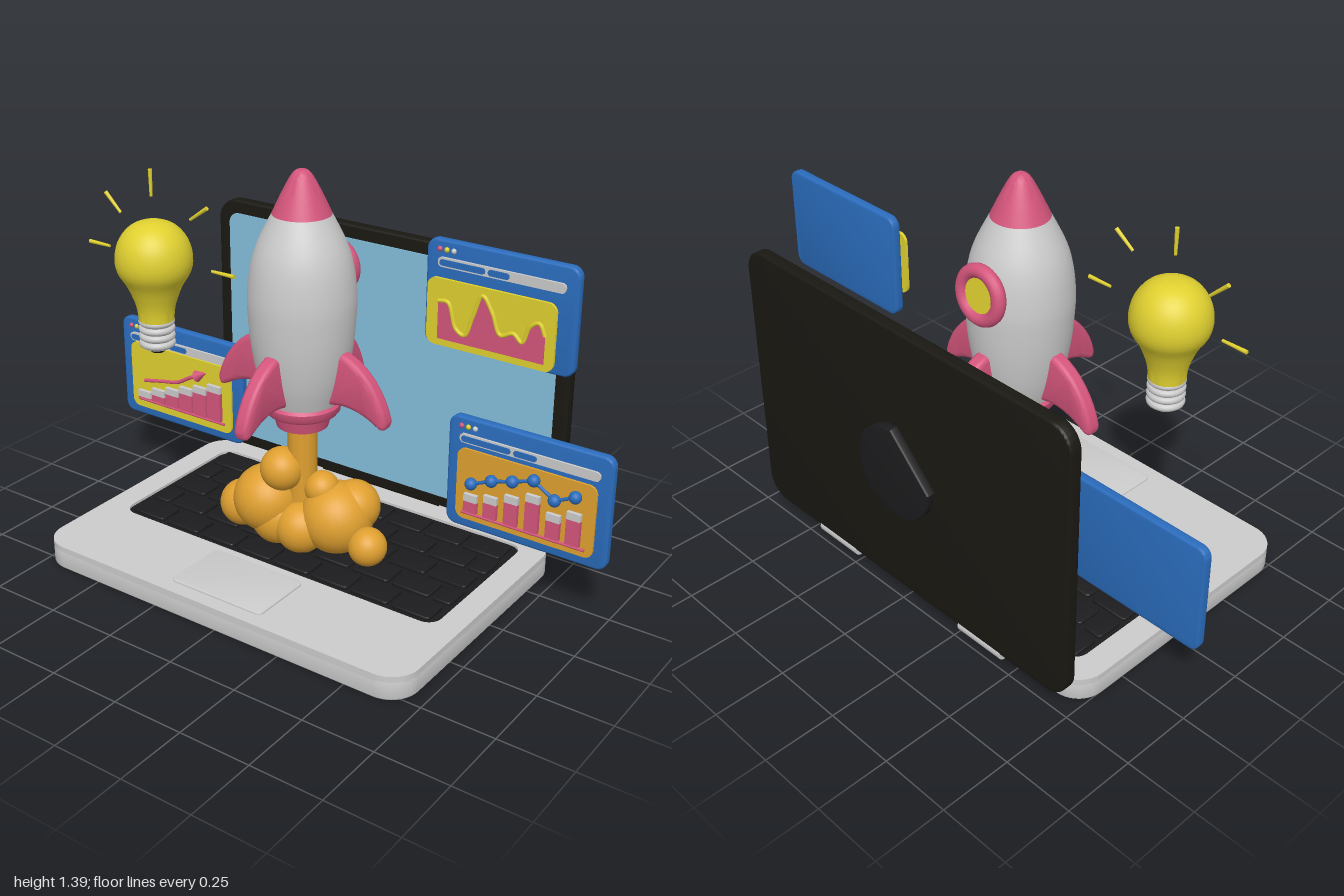
import * as THREE from 'three';
import { toCreasedNormals } from 'three/addons/utils/BufferGeometryUtils.js';

const GREY = 0xcccccc, BLUE = 0x2a6cbc, PINK = 0xd4557c, YELLOW = 0xe0d030, ORANGE = 0xe0a030,
  BLACK = 0x1a1812, KEY = 0x1c1c1e, SKY = 0x84bfdc;
const V2 = (p) => new THREE.Vector2(p[0], p[1]);
const V3 = (p) => new THREE.Vector3(p[0], p[1], p[2]);

function add(parent, name, geo, color, pos = [0, 0, 0]) {
  const mesh = new THREE.Mesh(geo, new THREE.MeshStandardMaterial({ color }));
  mesh.name = name;
  mesh.position.set(...pos);
  parent.add(mesh);
  return mesh;
}

function group(parent, name, pos = [0, 0, 0]) {
  const g = new THREE.Group();
  g.name = name;
  g.position.set(...pos);
  parent.add(g);
  return g;
}

function roundRect(x0, x1, y0, y1, r, Type = THREE.Shape) {
  const s = new Type();
  s.absarc(x1 - r, y1 - r, r, 0, Math.PI / 2);
  s.absarc(x0 + r, y1 - r, r, Math.PI / 2, Math.PI);
  s.absarc(x0 + r, y0 + r, r, Math.PI, Math.PI * 1.5);
  s.absarc(x1 - r, y0 + r, r, Math.PI * 1.5, Math.PI * 2);
  s.closePath();
  return s;
}

// Extrude a shape from z0 to z1 with a small rounded edge
function solid(shape, z0, z1, bevel = 0) {
  const geo = new THREE.ExtrudeGeometry(shape, {
    depth: z1 - z0 - 2 * bevel, curveSegments: 8, bevelEnabled: bevel > 0,
    bevelSize: bevel, bevelThickness: bevel, bevelOffset: -bevel, bevelSegments: 3,
  });
  geo.translate(0, 0, z0 + bevel);
  return toCreasedNormals(geo, 0.6);
}

const slab = (x0, x1, y0, y1, z0, z1, r, bevel) => solid(roundRect(x0, x1, y0, y1, r), z0, z1, bevel);
// Flat-lying plate: z range given front to back, thickness in y
const plate = (x0, x1, z0, z1, y0, y1, r, bevel) => slab(x0, x1, -z1, -z0, y0, y1, r, bevel).rotateX(-Math.PI / 2);

function rod(parent, name, a, b, r, color, r2 = r) {
  const d = V3(b).sub(V3(a));
  const mesh = add(parent, name, new THREE.CylinderGeometry(r2, r, d.length(), 12), color);
  mesh.position.copy(V3(a)).addScaledVector(d, 0.5);
  mesh.quaternion.setFromUnitVectors(new THREE.Vector3(0, 1, 0), d.normalize());
  return mesh;
}

const lathe = (pts, smooth) => toCreasedNormals(new THREE.LatheGeometry(
  smooth ? new THREE.SplineCurve(pts.map(V2)).getPoints(24) : pts.map(V2), 40), 0.6);

function buildLaptop(root) {
  const g = group(root, 'laptop');
  add(g, 'base', plate(-0.755, 0.705, -0.45, 0.54, 0, 0.07, 0.1, 0.006), GREY);
  const deck = roundRect(-0.755, 0.705, -0.54, 0.45, 0.1);
  deck.holes.push(roundRect(-0.665, 0.62, -0.22, 0.37, 0.05, THREE.Path));
  add(g, 'deck', solid(deck, 0.06, 0.084).rotateX(-Math.PI / 2), GREY);
  add(g, 'keyboardWell', plate(-0.67, 0.625, -0.375, 0.225, 0.06, 0.074, 0.05), KEY);
  // Five staggered rows of keys
  for (let row = 0; row < 5; row++) {
    const z = -0.355 + row * 0.113, shift = (row % 2) * 0.07;
    for (let i = 0; i < 8 + (row % 2); i++) {
      const x0 = i === 0 ? -0.645 : -0.645 + i * 0.156 - shift;
      const x1 = Math.min(0.6, -0.645 + (i + 1) * 0.156 - shift - 0.015);
      add(g, 'key', plate(x0, x1, z, z + 0.1, 0.07, 0.086, 0.012, 0.004), KEY);
    }
  }
  add(g, 'trackpad', plate(-0.215, 0.15, 0.255, 0.49, 0.07, 0.091, 0.02, 0.003), GREY);
  // Upright lid
  add(g, 'lid', slab(-0.75, 0.7, 0.07, 1.058, -0.51, -0.465, 0.08, 0.008), BLACK);
  add(g, 'screen', slab(-0.7, 0.65, 0.118, 1.01, -0.48, -0.461, 0.04), SKY);
  const pie = new THREE.Shape();
  pie.moveTo(0, 0);
  pie.absarc(0, 0, 0.165, Math.PI, Math.PI * 2.5);
  pie.closePath();
  add(g, 'pieRelief', solid(pie, -0.54, -0.505, 0.006), KEY, [-0.025, 0.55, 0]);
  for (const x of [-0.375, 0.325])
    rod(g, 'hinge', [x - 0.095, 0.066, -0.487], [x + 0.095, 0.066, -0.487], 0.026, GREY);
}

function buildRocket(root) {
  const g = group(root, 'rocket', [-0.025, 0, 0.017]);
  add(g, 'body', lathe([[0.12, 0.612], [0.147, 0.7], [0.167, 0.81], [0.176, 0.92], [0.176, 0.99],
    [0.165, 1.08], [0.142, 1.155], [0.096, 1.248]], true), GREY);
  add(g, 'noseCone', lathe([[0.096, 1.248], [0.066, 1.312], [0.038, 1.365], [0.02, 1.386], [0, 1.392]], true), PINK);
  add(g, 'tailBand', lathe([[0, 0.572], [0.118, 0.572], [0.126, 0.582], [0.129, 0.606], [0.12, 0.617], [0, 0.617]]), PINK);
  add(g, 'nozzle', lathe([[0, 0.523], [0.087, 0.523], [0.099, 0.575], [0, 0.575]]), PINK);
  // Four swept fins
  const fin = new THREE.Shape();
  fin.moveTo(0.1, 0.62);
  fin.quadraticCurveTo(0.2, 0.66, 0.3, 0.598);
  fin.quadraticCurveTo(0.338, 0.575, 0.338, 0.62);
  fin.bezierCurveTo(0.315, 0.71, 0.25, 0.79, 0.17, 0.815);
  fin.lineTo(0.1, 0.815);
  fin.closePath();
  const finGeo = solid(fin, -0.028, 0.028, 0.018);
  for (let i = 0; i < 4; i++) add(g, 'fin', finGeo, PINK).rotation.y = i * Math.PI / 2;
  // Porthole on the back
  const port = group(g, 'porthole', [0, 1.033, -0.172]);
  port.rotation.x = 0.09;
  add(port, 'portholeRing', new THREE.TorusGeometry(0.08, 0.024, 14, 40), PINK);
  add(port, 'portholeGlass', new THREE.CylinderGeometry(0.08, 0.08, 0.02, 40).rotateX(Math.PI / 2), YELLOW);
}

function buildExhaust(root) {
  const g = group(root, 'exhaust');
  rod(g, 'flameColumn', [-0.025, 0.09, 0.017], [-0.025, 0.53, 0.017], 0.05, ORANGE);
  // Smoke puffs: x, y, z, radius
  for (const [x, y, z, r] of [[-0.27, 0.157, 0.03, 0.082], [-0.145, 0.225, 0.055, 0.118], [-0.075, 0.36, 0.065, 0.075],
    [-0.1, 0.17, 0.05, 0.1], [0, 0.16, 0.06, 0.09], [0.1, 0.2, -0.005, 0.125], [0.14, 0.235, -0.05, 0.09],
    [0.05, 0.3, 0.01, 0.06], [0.245, 0.147, 0.025, 0.066]])
    add(g, 'smokePuff', new THREE.SphereGeometry(r, 28, 20), ORANGE, [x, y, z]);
}

function buildBulb(root) {
  const g = group(root, 'lightBulb', [-0.525, 0, 0.157]);
  add(g, 'bulbGlass', lathe([[0.06, 0.825], [0.066, 0.875], [0.092, 0.945], [0.122, 0.995], [0.129, 1.045],
    [0.115, 1.1], [0.08, 1.144], [0.035, 1.165], [0, 1.168]], true), YELLOW);
  add(g, 'screwCore', new THREE.CylinderGeometry(0.054, 0.05, 0.1, 32), GREY, [0, 0.777, 0]);
  for (let i = 0; i < 4; i++)
    add(g, 'screwThread', new THREE.TorusGeometry(0.049, 0.013, 10, 32).rotateX(Math.PI / 2), GREY, [0, 0.742 + i * 0.026, 0]);
  add(g, 'bulbContact', new THREE.CylinderGeometry(0.045, 0.022, 0.022, 24), KEY, [0, 0.72, 0]);
  // Light rays
  for (const [x0, y0, x1, y1] of [[0, 1.25, 0, 1.34], [-0.137, 1.17, -0.2, 1.23], [0.162, 1.2, 0.232, 1.25],
    [-0.195, 1.043, -0.285, 1.043], [0.245, 1.043, 0.335, 1.043]])
    rod(g, 'lightRay', [x0, y0, 0], [x1, y1, 0], 0.005, YELLOW, 0.007);
}

// Window frame with buttons, address bar and a chart backing [x0, x1, y0, y1, z0, z1]
function buildPanel(root, name, [x0, x1, y0, y1], [cx0, cx1, cy0, cy1, cz0, cz1], color) {
  const g = group(root, name), w = x1 - x0;
  add(g, 'frame', slab(x0, x1, y0, y1, -0.212, -0.18, 0.035, 0.007), BLUE);
  [PINK, YELLOW, GREY].forEach((c, i) =>
    add(g, 'windowButton', new THREE.SphereGeometry(0.009, 12, 8), c, [x0 + 0.047 + i * 0.025, y1 - 0.03, -0.18]));
  const by = y1 - 0.07, bx = x0 + 0.045;
  add(g, 'addressBar', slab(bx, x1 - 0.04, by - 0.016, by + 0.016, -0.185, -0.172, 0.014), GREY);
  add(g, 'tab', slab(bx + 0.008, bx + w * 0.32, by - 0.01, by + 0.01, -0.18, -0.168, 0.009), BLUE);
  add(g, 'tab', slab(bx + w * 0.34, bx + w * 0.48, by - 0.01, by + 0.01, -0.18, -0.168, 0.009), BLUE);
  add(g, 'chartBacking', slab(cx0, cx1, cy0, cy1, cz0, cz1, 0.03), color);
  return g;
}

function buildBars(g, xs, tops, base, width, cap) {
  xs.forEach((x, i) => {
    const split = tops[i] - cap;
    add(g, 'bar', new THREE.BoxGeometry(width, split - base, 0.018), PINK, [x, (split + base) / 2, -0.167]);
    add(g, 'barCap', new THREE.BoxGeometry(width, cap, 0.018), GREY, [x, tops[i] - cap / 2, -0.167]);
  });
  rod(g, 'axisLine', [xs[0] - 0.035, base - 0.01, -0.17], [xs[5] + 0.04, base - 0.01, -0.17], 0.005, PINK);
}

function buildPanels(root) {
  // Area chart, with its backing floating ahead of the frame
  const area = buildPanel(root, 'areaChartPanel', [0.315, 0.84, 0.83, 1.184], [0.358, 0.802, 0.862, 1.083, -0.127, -0.117], YELLOW);
  const wave = new THREE.CatmullRomCurve3([[0.4, 1.01], [0.435, 1.01], [0.465, 0.93], [0.497, 0.915], [0.525, 0.985],
    [0.555, 1.058], [0.59, 1.01], [0.62, 0.945], [0.665, 0.96], [0.695, 0.938], [0.72, 0.995], [0.75, 1.012], [0.77, 0.975]]
    .map(([x, y]) => new THREE.Vector3(x, y, -0.116)));
  const fill = new THREE.Shape([[0.4, 0.885], ...wave.getPoints(60).map((p) => [p.x, p.y]), [0.77, 0.885]].map(V2));
  add(area, 'areaFill', solid(fill, -0.12, -0.114), PINK);
  add(area, 'waveLine', new THREE.TubeGeometry(wave, 90, 0.007, 8), YELLOW).material.side = THREE.DoubleSide;

  // Bar and line chart
  const line = buildPanel(root, 'lineChartPanel', [0.42, 1, 0.21, 0.605], [0.46, 0.955, 0.245, 0.5, -0.185, -0.172], ORANGE);
  const xs = [0.52, 0.593, 0.668, 0.743, 0.818, 0.888];
  buildBars(line, xs, [0.345, 0.36, 0.385, 0.412, 0.368, 0.395], 0.28, 0.048, 0.026);
  const dots = [0.385, 0.417, 0.438, 0.465, 0.417, 0.45].map((y, i) => [xs[i], y, -0.162]);
  dots.forEach((p, i) => {
    add(line, 'dataPoint', new THREE.SphereGeometry(0.021, 18, 12), BLUE, p);
    if (i) rod(line, 'dataLine', dots[i - 1], p, 0.006, BLUE);
  });

  // Growth chart with a rising arrow
  const growth = buildPanel(root, 'growthChartPanel', [-1, -0.435, 0.24, 0.625], [-0.955, -0.48, 0.275, 0.535, -0.185, -0.172], YELLOW);
  buildBars(growth, [-0.888, -0.82, -0.753, -0.686, -0.619, -0.552], [0.348, 0.37, 0.39, 0.412, 0.433, 0.455], 0.318, 0.06, 0.026);
  const path = new THREE.CatmullRomCurve3([[-0.888, 0.39], [-0.79, 0.41], [-0.73, 0.422], [-0.67, 0.455], [-0.62, 0.478]]
    .map(([x, y]) => new THREE.Vector3(x, y, -0.168)));
  add(growth, 'arrowShaft', new THREE.TubeGeometry(path, 30, 0.007, 8), PINK).material.side = THREE.DoubleSide;
  rod(growth, 'arrowHead', [-0.635, 0.471, -0.168], [-0.592, 0.493, -0.168], 0.022, PINK, 0.001);
}

export function createModel() {
  const root = new THREE.Group();
  root.name = 'launchScene';
  buildLaptop(root);
  buildRocket(root);
  buildExhaust(root);
  buildBulb(root);
  buildPanels(root);
  return root;
}
